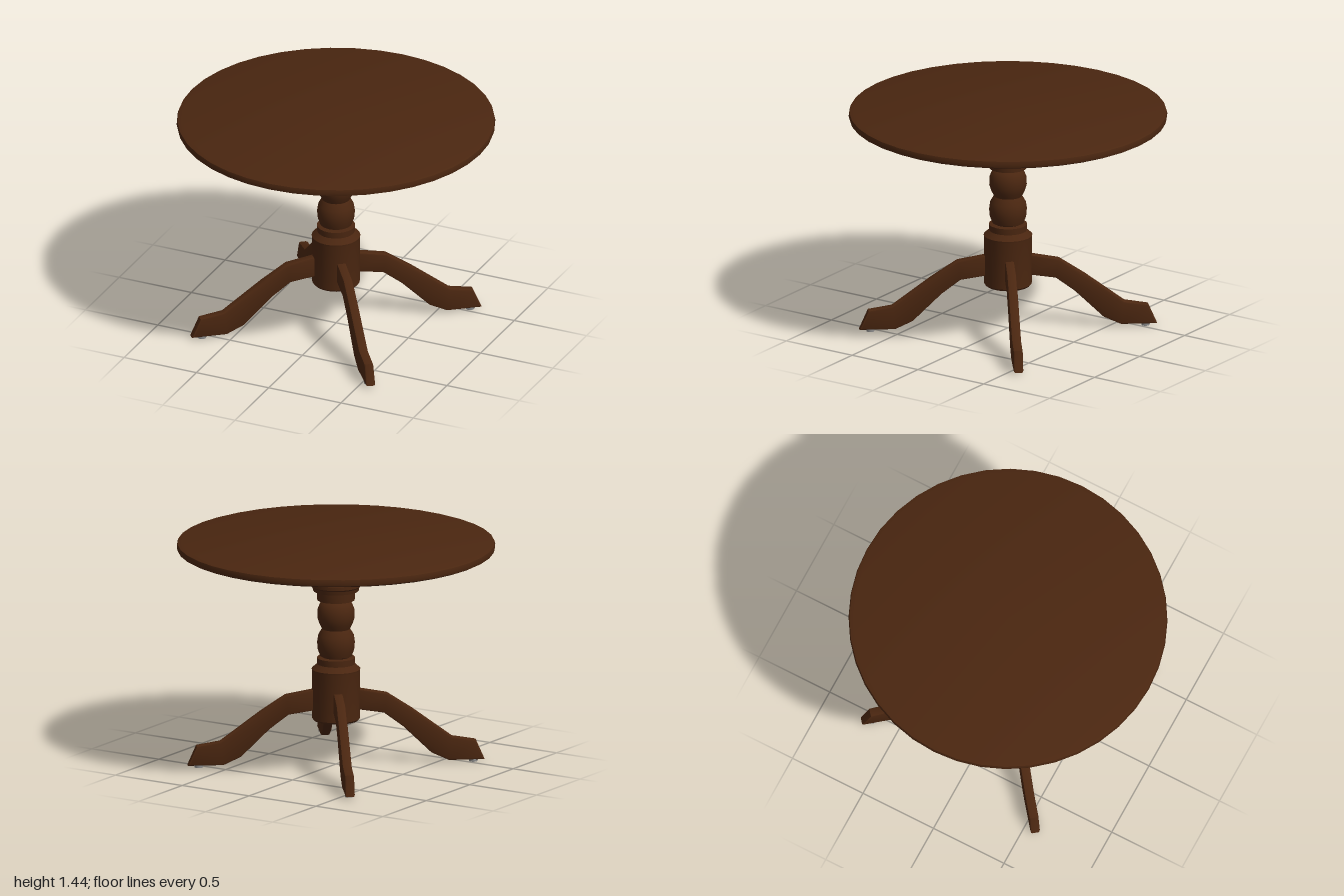
import * as THREE from 'three';
import { toCreasedNormals } from 'three/addons/utils/BufferGeometryUtils.js';

const wood = new THREE.MeshStandardMaterial({ color: 0x4a2610 });
wood.name = 'dark wood';
const steel = new THREE.MeshStandardMaterial({ color: 0x8a8a8a });
steel.name = 'grey glide';
const iron = new THREE.MeshStandardMaterial({ color: 0x3a3632 });
iron.name = 'dark screw';

function add(parent, name, geometry, material) {
  const mesh = new THREE.Mesh(geometry, material);
  mesh.name = name;
  parent.add(mesh);
  return mesh;
}

// Turned part: [radius, height] pairs from bottom to top
function turned(profile, sides, crease = 0.6) {
  const points = profile.map(([r, y]) => new THREE.Vector2(r, y));
  return toCreasedNormals(new THREE.LatheGeometry(points, sides), crease);
}

// Side outline of a leg as [distance from the axis, height]
const legOutline = [
  [0.10, 0.36], [0.30, 0.33], [0.42, 0.24], [0.60, 0.065], [0.71, 0.014], [0.935, 0.014],
  [0.88, 0.14], [0.73, 0.165], [0.48, 0.35], [0.32, 0.455], [0.10, 0.495],
];

function legGeometry() {
  const shape = new THREE.Shape(legOutline.map(([r, y]) => new THREE.Vector2(r, y)));
  const bevel = 0.012, width = 0.06;
  const geometry = new THREE.ExtrudeGeometry(shape, {
    depth: width - 2 * bevel, bevelEnabled: true, bevelThickness: bevel,
    bevelSize: bevel, bevelOffset: -bevel, bevelSegments: 2,
  });
  geometry.translate(0, 0, -width / 2 + bevel);
  return toCreasedNormals(geometry, 0.7);
}

export function createModel() {
  const table = new THREE.Group();
  table.name = 'pedestalTable';

  // Round top with softened rim
  add(table, 'tableTop', turned([
    [0, 1.38], [0.975, 1.38], [0.995, 1.39], [1, 1.41], [0.995, 1.43], [0.965, 1.44], [0, 1.44],
  ], 40), wood);

  // Mounting plate under the top
  add(table, 'mountingPlate', turned([
    [0, 1.35], [0.305, 1.35], [0.305, 1.382], [0, 1.382],
  ], 36), wood);

  // Turned column: base drum, ring, two balls, capital
  add(table, 'column', turned([
    [0, 0.288], [0.14, 0.288], [0.15, 0.3], [0.15, 0.605],
    [0.153, 0.618], [0.132, 0.636], [0.118, 0.65], [0.12, 0.69], [0.085, 0.694],
    [0.1, 0.702], [0.115, 0.745], [0.119, 0.79], [0.112, 0.835], [0.088, 0.876],
    [0.105, 0.91], [0.118, 0.95], [0.116, 1.0], [0.1, 1.04], [0.082, 1.053],
    [0.075, 1.058], [0.118, 1.062], [0.122, 1.118], [0.143, 1.122], [0.148, 1.145],
    [0.159, 1.155], [0.159, 1.178], [0.152, 1.188], [0.155, 1.2], [0.155, 1.33],
    [0.15, 1.342], [0.15, 1.36],
  ], 28), wood);

  // Four legs with a glide under each foot
  const geometry = legGeometry();
  for (let i = 0; i < 4; i++) {
    const leg = new THREE.Group();
    leg.name = 'leg' + (i + 1);
    leg.rotation.y = THREE.MathUtils.degToRad(-51.5 + 90 * i);
    add(leg, 'legBody', geometry, wood);
    add(leg, 'footGlide', new THREE.CylinderGeometry(0.026, 0.026, 0.016, 14), steel)
      .position.set(0.865, 0.008, 0);
    table.add(leg);
  }

  // Four screws holding the plate
  for (let i = 0; i < 4; i++) {
    const a = THREE.MathUtils.degToRad(15 + 90 * i);
    add(table, 'plateScrew' + (i + 1), new THREE.CylinderGeometry(0.03, 0.022, 0.016, 12), iron)
      .position.set(0.215 * Math.cos(a), 1.344, 0.215 * Math.sin(a));
  }
  return table;
}
